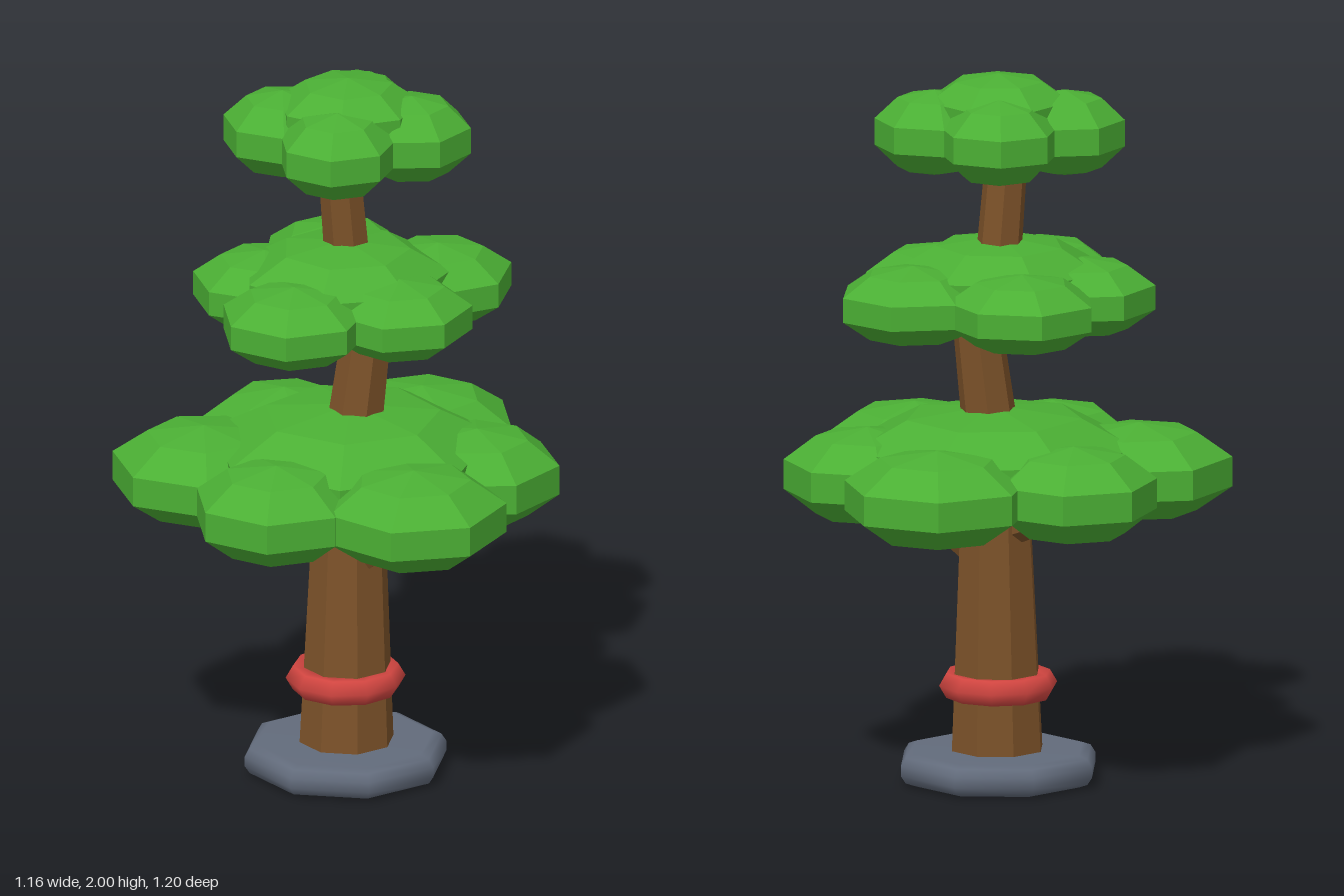
import * as THREE from 'three';

const material = (name, color) => {
  const m = new THREE.MeshStandardMaterial({ color });
  m.name = name;
  return m;
};

// Facet a geometry so every face gets its own normal
const faceted = (geometry) => {
  const g = geometry.toNonIndexed();
  g.computeVertexNormals();
  return g;
};

export function createModel() {
  const tree = new THREE.Group();
  tree.name = 'tieredTree';
  const leaf = material('leafGreen', 0x4baf34);
  const bark = material('barkBrown', 0x7c5229);
  const band = material('bandRed', 0xd04540);
  const stone = material('stoneGrey', 0x626b7b);

  const add = (name, geometry, mat, parent = tree) => {
    const mesh = new THREE.Mesh(geometry, mat);
    mesh.name = name;
    parent.add(mesh);
    return mesh;
  };

  // Tapered wooden limb between two points
  const limb = (name, a, b, r0, r1, sides) => {
    const from = new THREE.Vector3(...a), to = new THREE.Vector3(...b);
    const dir = to.clone().sub(from);
    const mesh = add(name, faceted(new THREE.CylinderGeometry(r1, r0, dir.length(), sides)), bark);
    mesh.position.copy(from).add(to).multiplyScalar(0.5);
    mesh.quaternion.setFromUnitVectors(new THREE.Vector3(0, 1, 0), dir.normalize());
  };

  // Stone base: rounded octagonal slab
  const slab = [[0, 0], [0.245, 0], [0.27, 0.009], [0.284, 0.03], [0.284, 0.058],
    [0.27, 0.08], [0.245, 0.089], [0, 0.089]].map(([r, y]) => new THREE.Vector2(r, y));
  add('base', new THREE.LatheGeometry(slab, 8, Math.PI / 2), stone).position.z = 0.03;

  // Trunk in leaning sections
  limb('lowerTrunk', [0.004, 0.003, 0.033], [0, 0.8, 0.012], 0.136, 0.1, 8);
  limb('middleTrunk', [-0.01, 0.78, 0.015], [0.045, 1.38, -0.035], 0.085, 0.066, 7);
  limb('upperTrunk', [-0.02, 1.36, -0.03], [-0.045, 1.82, 0], 0.066, 0.058, 7);

  // Branches under the lowest tier
  limb('leftBranch', [0.04, 0.63, 0.03], [0.32, 0.83, 0.04], 0.055, 0.045, 6);
  limb('rightBranch', [-0.07, 0.72, 0.0], [-0.32, 0.82, -0.13], 0.045, 0.035, 6);

  // Red band around the trunk
  const ring = add('trunkBand', new THREE.TorusGeometry(0.125, 0.04, 6, 10), band);
  ring.rotation.x = Math.PI / 2;
  ring.position.set(0, 0.27, 0.03);

  // Foliage tiers; each puff: x, z, widest radius, turn in degrees, centre y, half height
  const tiers = {
    lowerFoliage: [
      [0, 0, 0.4, 11, 0.9, 0.157],
      [-0.34, 0.22, 0.255, 4.5, 0.862, 0.135],
      [0.34, 0.22, 0.255, 20.7, 0.862, 0.135],
      [0, 0.388, 0.23, 12.9, 0.862, 0.135],
      [0, -0.366, 0.26, 38.6, 0.862, 0.135],
      [-0.315, -0.155, 0.23, 46.6, 0.862, 0.135],
      [0.31, -0.155, 0.23, 30, 0.862, 0.135],
    ],
    middleFoliage: [
      [-0.02, 0, 0.29, 20, 1.405, 0.128],
      [-0.19, -0.222, 0.207, 24, 1.37, 0.11],
      [0.132, -0.238, 0.207, 5, 1.37, 0.11],
      [0.197, 0.065, 0.2, 20, 1.37, 0.11],
      [-0.015, 0.272, 0.205, 12.9, 1.37, 0.11],
      [-0.24, 0.065, 0.2, 5, 1.37, 0.11],
    ],
    upperFoliage: [
      [-0.03, -0.03, 0.2, 12, 1.89, 0.105],
      [0.13, -0.105, 0.165, 30, 1.83, 0.12],
      [0.03, 0.12, 0.165, 12.9, 1.83, 0.12],
      [-0.195, 0.045, 0.165, 5, 1.83, 0.12],
      [-0.095, -0.165, 0.165, 38, 1.83, 0.12],
    ],
  };
  const puffGeometry = faceted(new THREE.SphereGeometry(1, 7, 5));
  const widest = Math.sin(Math.PI * 0.4);
  for (const [name, puffs] of Object.entries(tiers)) {
    const tier = new THREE.Group();
    tier.name = name;
    tree.add(tier);
    for (const [x, z, r, turn, y, h] of puffs) {
      const puff = add('leafPuff', puffGeometry, leaf, tier);
      puff.scale.set(r / widest, h, r / widest);
      puff.rotation.y = THREE.MathUtils.degToRad(180 / 7 - turn);
      puff.position.set(x, y, z);
    }
  }
  return tree;
}
